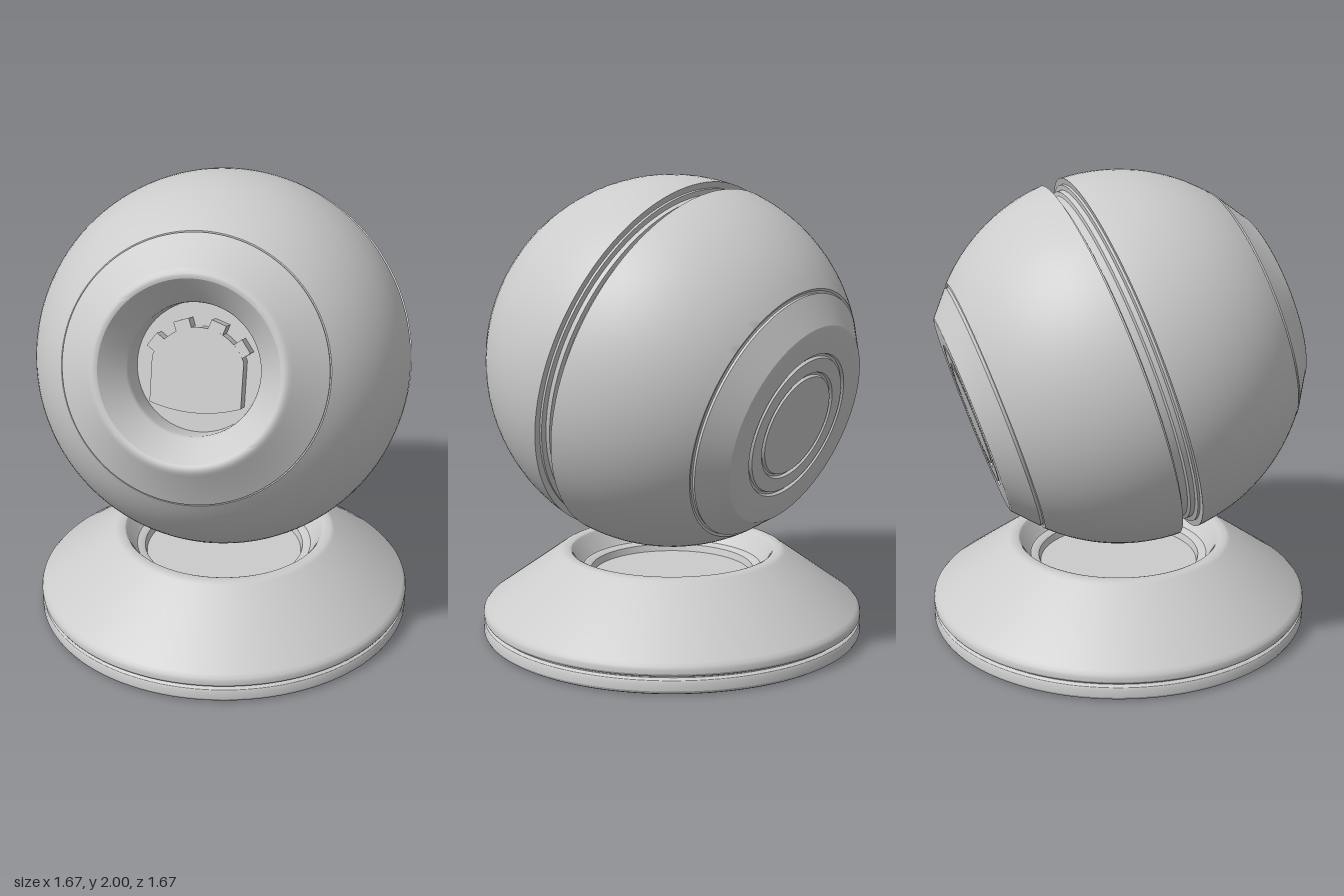
import * as THREE from 'three';
import { toCreasedNormals } from 'three/addons/utils/BufferGeometryUtils.js';

const grey = new THREE.MeshStandardMaterial({ color: 0xcccccc });
const R = 0.803; // ball radius

// Surface of revolution from [radius, height] pairs, listed bottom to top
function turned(name, profile, crease = 0.45) {
  const points = profile.map(([r, h]) => new THREE.Vector2(r, h));
  const mesh = new THREE.Mesh(toCreasedNormals(new THREE.LatheGeometry(points, 112), crease), grey);
  mesh.name = name;
  return mesh;
}

// Points on the ball between two heights along its axis
function ballArc(h0, h1, steps = 16) {
  const a0 = Math.asin(h0 / R), a1 = Math.asin(h1 / R);
  return Array.from({ length: steps + 1 }, (_, i) => {
    const a = a0 + (a1 - a0) * i / steps;
    return [R * Math.cos(a), R * Math.sin(a)];
  });
}

// Shallow ring groove in the flat back cap
const ringGroove = (r, h) => [[r - 0.01, h], [r - 0.005, h + 0.012], [r + 0.005, h + 0.012], [r + 0.01, h]];

export function createModel() {
  const model = new THREE.Group();
  model.name = 'ballOnStand';

  // Stand: two stacked rims, a cone and a stepped bowl
  model.add(turned('stand', [
    [0, 0], [0.822, 0], [0.832, 0.006], [0.837, 0.016], [0.837, 0.048], [0.832, 0.059], [0.822, 0.065],
    [0.815, 0.065], [0.815, 0.072], [0.822, 0.072],
    [0.832, 0.077], [0.837, 0.086], [0.837, 0.102], [0.833, 0.114], [0.82, 0.128],
    [0.503, 0.356], [0.494, 0.362], [0.484, 0.365],
    [0.458, 0.365], [0.448, 0.361], [0.44, 0.352],
    [0.405, 0.29], [0.396, 0.28], [0.37, 0.276], [0.36, 0.27], [0.352, 0.24], [0, 0.24],
  ]));

  // Ball, tilted back so its axis points forward and up
  const ball = new THREE.Group();
  ball.name = 'ball';
  ball.position.y = 1.197;
  ball.rotation.x = -0.31;
  model.add(ball);

  const shell = turned('ballShell', [
    // flat back cap with two ring grooves, then its sloped edge
    [0, -0.681], ...ringGroove(0.229, -0.681), ...ringGroove(0.311, -0.681),
    [0.43, -0.681], [0.442, -0.678], [0.45, -0.671],
    [0.545, -0.588], [0.542, -0.576], [0.55, -0.572],
    // rear half
    ...ballArc(-0.575, -0.056),
    // stepped groove around the middle
    [0.768, -0.056], [0.766, -0.044], [0.74, -0.038], [0.738, -0.008],
    [0.754, -0.002], [0.754, 0.018], [0.775, 0.022], [0.775, 0.032],
    // front half
    ...ballArc(0.032, 0.594),
    // front bezel and its eye socket
    [0.535, 0.594], [0.535, 0.602], [0.405, 0.695], [0.394, 0.705], [0.381, 0.711], [0.37, 0.711],
    [0.36, 0.707], [0.352, 0.698], [0.272, 0.606], [0.266, 0.597], [0.264, 0.585],
    [0.264, 0.46], [0, 0.46],
  ]);
  shell.rotation.x = Math.PI / 2;
  ball.add(shell);

  // Raised plate in the socket: domed top, straight sides, bowed bottom
  const centreY = -0.036;
  const shape = new THREE.Shape();
  shape.moveTo(-0.185, -0.147);
  shape.quadraticCurveTo(0, -0.209, 0.185, -0.147);
  shape.lineTo(0.185, 0.037);
  const start = Math.atan2(0.073, 0.185);
  shape.absarc(0, centreY, 0.199, start, Math.PI - start, false);
  shape.closePath();
  const plate = new THREE.Mesh(
    toCreasedNormals(new THREE.ExtrudeGeometry(shape, { depth: 0.085, bevelEnabled: false, curveSegments: 24 }), 0.5), grey);
  plate.name = 'socketPlate';
  plate.position.z = 0.455;
  ball.add(plate);

  // Four teeth fanned over the top of the plate
  for (const degrees of [36, 71, 109, 144]) {
    const angle = degrees * Math.PI / 180;
    const tooth = new THREE.Mesh(new THREE.BoxGeometry(0.046, 0.064, 0.085), grey);
    tooth.name = 'plateTooth';
    tooth.position.set(0.212 * Math.cos(angle), centreY + 0.212 * Math.sin(angle), 0.4965);
    tooth.rotation.z = angle;
    ball.add(tooth);
  }
  return model;
}
